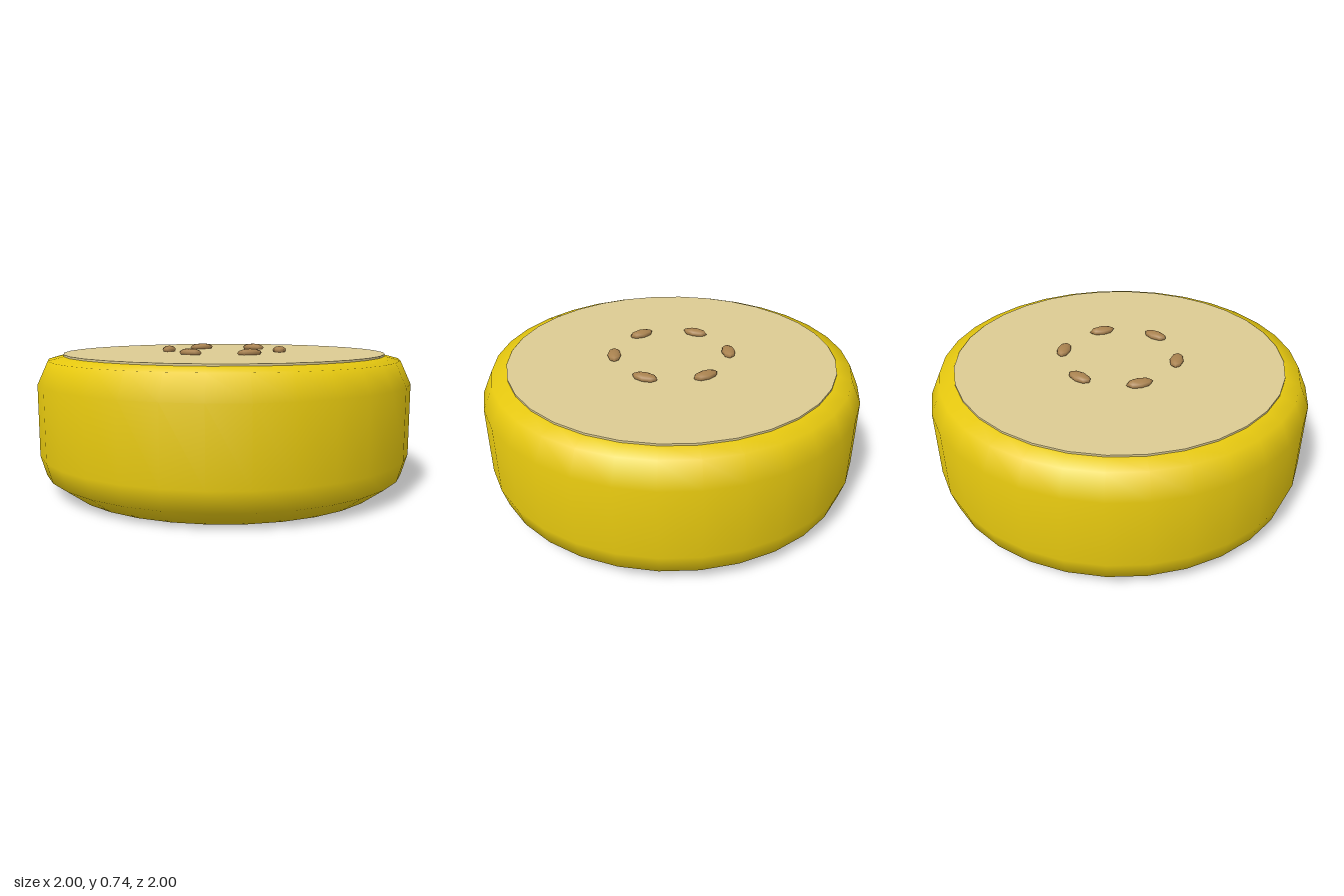
import * as THREE from 'three';

const material = (name, color) => {
  const m = new THREE.MeshStandardMaterial({ color });
  m.name = name;
  return m;
};

export function createModel() {
  const model = new THREE.Group();
  model.name = 'halvedRoundFruit';
  const yellow = material('yellow rind', 0xe6c80f);
  const cream = material('pale flesh', 0xdccb92);
  const brown = material('brown seed', 0xa9824f);

  const add = (name, geometry, mat, parent = model) => {
    const mesh = new THREE.Mesh(geometry, mat);
    mesh.name = name;
    parent.add(mesh);
    return mesh;
  };

  // Rounded rind, closed underneath and under the cut face
  const profile = [
    [0, 0], [0.855, 0], [0.97, 0.085], [1, 0.19], [1, 0.56],
    [0.945, 0.68], [0.86, 0.702],
  ].map(([r, y]) => new THREE.Vector2(r, y));
  add('rind', new THREE.LatheGeometry(profile, 32), yellow);

  // Flat cut face
  const flesh = add('flesh', new THREE.CylinderGeometry(0.865, 0.865, 0.03, 32), cream);
  flesh.position.y = 0.696;

  // Ring of six seeds, lying along the circle
  const seeds = new THREE.Group();
  seeds.name = 'seeds';
  model.add(seeds);
  const seedShape = new THREE.SphereGeometry(1, 8, 6);
  seedShape.scale(0.037, 0.021, 0.071);
  for (let i = 0; i < 6; i++) {
    const angle = (i * Math.PI) / 3;
    const seed = add('seed', seedShape, brown, seeds);
    seed.position.set(0.305 * Math.cos(angle), 0.721, -0.305 * Math.sin(angle));
    seed.rotation.y = angle;
  }
  return model;
}
